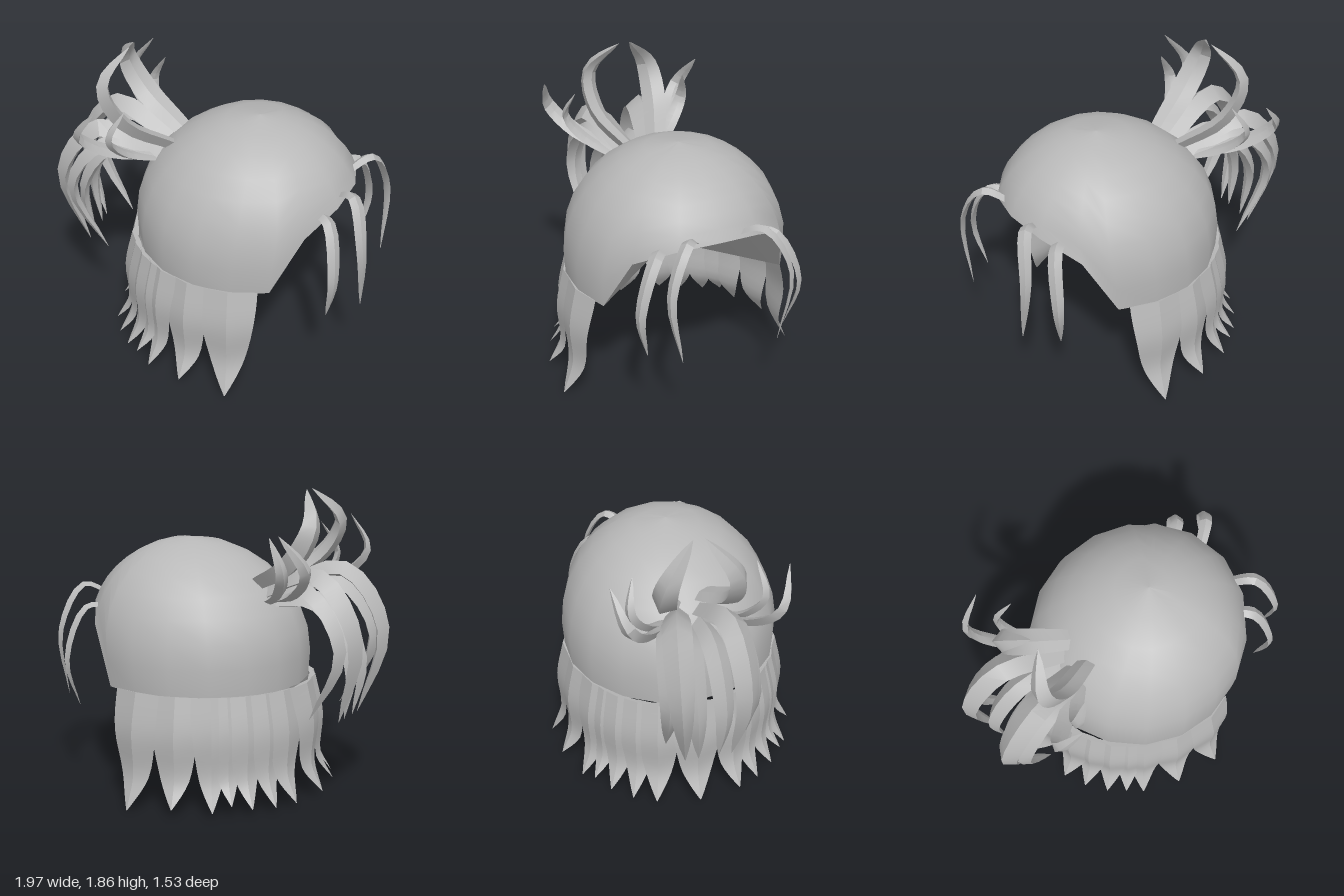
import * as THREE from 'three';
import { toCreasedNormals } from 'three/addons/utils/BufferGeometryUtils.js';

const hair = new THREE.MeshStandardMaterial({ color: 0xb8b8b8 });
hair.name = 'hairGrey';

function meshFrom(name, positions, index, crease) {
  let geo = new THREE.BufferGeometry();
  geo.setAttribute('position', new THREE.Float32BufferAttribute(positions, 3));
  geo.setIndex(index);
  if (crease) geo = toCreasedNormals(geo, crease);
  else geo.computeVertexNormals();
  const mesh = new THREE.Mesh(geo, hair);
  mesh.name = name;
  return mesh;
}

// Tapered lock with a ridged, diamond section; its broad face looks away from `center`
function lock(name, points, center, halfWidth, ridge, taper) {
  const curve = new THREE.CatmullRomCurve3(points);
  const steps = 12, pos = [], index = [];
  for (let i = 0; i <= steps; i++) {
    const t = i / steps;
    const p = curve.getPoint(t), tan = curve.getTangent(t);
    const side = tan.clone().cross(p.clone().sub(center)).normalize();
    const out = side.clone().cross(tan).normalize();
    const w = Math.max(0.002, halfWidth * taper(t));
    for (const [a, b] of [[w, 0], [0, w * ridge], [-w, 0], [0, -w * ridge * 0.3]]) {
      const v = p.clone().addScaledVector(side, a).addScaledVector(out, b);
      pos.push(v.x, v.y, v.z);
    }
    if (i === steps) continue;
    for (let j = 0; j < 4; j++) {
      const a = i * 4 + j, b = i * 4 + (j + 1) % 4;
      index.push(a, a + 4, b, b, a + 4, b + 4);
    }
  }
  index.push(0, 1, 2, 0, 2, 3);
  return meshFrom(name, pos, index, 0.45);
}

const hangTaper = (t) => Math.pow(Math.max(0, 1 - t * t), 0.95);
const curlTaper = (t) => (0.65 + 1.6 * t) * Math.pow(1 - t, 0.8);

// Rim height by angle from the face: a brow, a corner at the temple, then level
function rimHeight(deg) {
  const a = Math.min(deg, 360 - deg);
  if (a <= 47) return 1.155 - 0.125 * Math.pow(a / 47, 2.3);
  return Math.max(0.69, 1.03 - 0.34 * (a - 47) / 15);
}

// Dome with a rim that rises over the face, closed below by a shallow lining
function addCap(group) {
  const half = [0, 24, 47, 62, 82, 102, 122, 142, 161, 180];
  const angles = [...half, ...half.slice(1, -1).reverse().map((a) => 360 - a)];
  const n = angles.length, rows = 8, pos = [], index = [];
  for (let i = 0; i <= rows; i++) {
    for (const deg of angles) {
      const a = THREE.MathUtils.degToRad(deg);
      const y = 1.53 - (1.53 - rimHeight(deg)) * Math.pow(i / rows, 1.6);
      const u = Math.max(0, (y - 0.8) / 0.73);
      const r = 0.667 * Math.sqrt(Math.max(0, 1 - Math.pow(u, 2.25))) - Math.max(0, 0.8 - y) * 0.1;
      const rx = r * (1 + 0.05 * Math.sin(Math.PI * u));
      pos.push(0.17 + 0.08 * u + rx * Math.cos(a), y, r * Math.sin(a));
    }
  }
  for (let i = 0; i < rows; i++) {
    for (let j = 0; j < n; j++) {
      const a = i * n + j, b = i * n + (j + 1) % n;
      if (i > 0) index.push(a, b, a + n);
      index.push(b, b + n, a + n);
    }
  }
  group.add(meshFrom('cap', pos, index));

  const lining = [0.1, 0.8, 0, ...pos.slice(rows * n * 3)];
  const fan = [];
  for (let j = 0; j < n; j++) fan.push(0, 1 + j, 1 + (j + 1) % n);
  group.add(meshFrom('capLining', lining, fan));
}

// Ring of strands hanging from the cap: angle from the face, tip height, half width
function addHangingStrands(group) {
  const strands = [[83, 0.005, 0.17], [104, 0.05, 0.15], [121, 0.04, 0.12], [129, 0.08, 0.1],
    [138, 0.05, 0.12], [149, 0.04, 0.12], [160, 0.04, 0.14], [180, 0.04, 0.16]];
  const center = new THREE.Vector3(0.17, 0.35, 0);
  for (const [deg, tipY, width] of strands) {
    const a = THREE.MathUtils.degToRad(deg);
    const cx = Math.cos(a) * (deg > 90 ? 1.07 : 1);
    for (const s of deg === 180 ? [1] : [1, -1]) {
      const at = (r, y) => new THREE.Vector3(0.17 + r * cx, y, s * r * Math.sin(a));
      const path = [at(0.63, 0.695), at(0.68, 0.46), at(0.68, 0.2), at(0.77, tipY)];
      group.add(lock('hangingStrand', path, center, width, 0.24, hangTaper));
    }
  }
}

// Mirrored pair of curls through four points, bending around the middle of root and tip
function addCurlPair(group, name, halfWidth, ridge, ...path) {
  for (const s of [1, -1]) {
    const points = path.map(([x, y, z]) => new THREE.Vector3(x, y, z * s));
    const center = points[0].clone().lerp(points[3], 0.5);
    group.add(lock(name, points, center, halfWidth, ridge, curlTaper));
  }
}

// Tufts rising behind the cap
function addTufts(group) {
  addCurlPair(group, 'upperTuft', 0.09, 0.85, [-0.25, 1.3, 0.08], [-0.52, 1.46, 0.19], [-0.64, 1.67, 0.19], [-0.54, 1.865, 0.035]);
  addCurlPair(group, 'sideTuft', 0.06, 0.75, [-0.33, 1.22, 0.1], [-0.59, 1.31, 0.31], [-0.72, 1.46, 0.44], [-0.59, 1.66, 0.51]);
  addCurlPair(group, 'innerTuft', 0.05, 0.75, [-0.33, 1.2, 0.12], [-0.49, 1.3, 0.29], [-0.55, 1.44, 0.39], [-0.46, 1.62, 0.36]);
}

// Tail that arches up and falls behind
function addTail(group) {
  addCurlPair(group, 'tailLock', 0.1, 0.85, [-0.32, 1.22, 0.07], [-0.69, 1.36, 0.16], [-0.92, 1.04, 0.19], [-0.81, 0.53, 0.14]);
  addCurlPair(group, 'tailLock', 0.08, 0.85, [-0.32, 1.19, 0.1], [-0.64, 1.28, 0.2], [-0.85, 0.98, 0.24], [-0.66, 0.55, 0.22]);
  addCurlPair(group, 'tailLock', 0.08, 0.85, [-0.32, 1.17, 0.05], [-0.64, 1.18, 0.07], [-0.84, 0.88, 0.08], [-0.81, 0.53, 0.06]);
}

// Thin curls falling in front of the face
function addFrontCurls(group) {
  addCurlPair(group, 'frontCurl', 0.045, 0.6, [0.75, 1.14, 0.13], [0.88, 1.21, 0.24], [0.965, 0.95, 0.37], [0.965, 0.52, 0.3]);
  addCurlPair(group, 'frontForelock', 0.048, 0.6, [0.66, 1.1, 0.28], [0.77, 1.1, 0.38], [0.835, 0.8, 0.5], [0.79, 0.5, 0.44]);
}

export function createModel() {
  const model = new THREE.Group();
  model.name = 'hairpiece';
  addCap(model);
  addHangingStrands(model);
  addTufts(model);
  addTail(model);
  addFrontCurls(model);
  return model;
}
